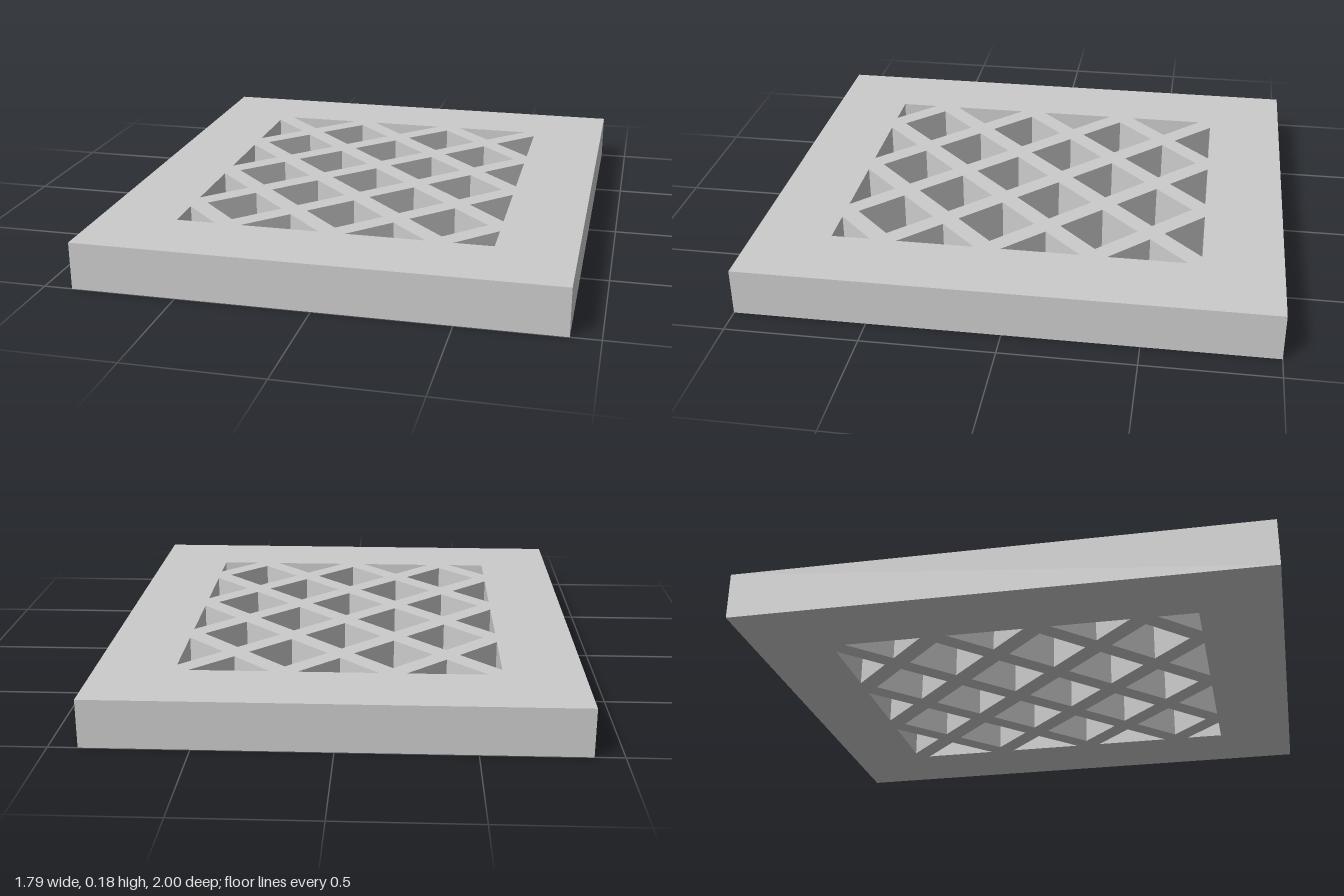
import * as THREE from 'three';

const WIDTH = 1.786, DEPTH = 2, HEIGHT = 0.18; // outer plate
const STEP_X = 0.199, STEP_Z = 0.2;            // half pitch of the lattice
const COLS = 6, ROWS = 7;                      // half-pitch cells across the window
const HOLE = 0.149;                            // half diagonal of a diamond hole

// Diamond outline cut off by the edges of the lattice window
function diamondHole(cx, cz) {
  const maxX = COLS * STEP_X / 2 + 0.001, maxZ = ROWS * STEP_Z / 2 + 0.001;
  const points = [[HOLE, 0], [0, HOLE], [-HOLE, 0], [0, -HOLE]]
    .map(([dx, dz]) => new THREE.Vector2(cx + dx, cz + dz))
    .filter((p) => Math.abs(p.x) <= maxX && Math.abs(p.y) <= maxZ);
  // In a corner only a quarter remains, closed by the centre point
  if (points.length === 2) points.push(new THREE.Vector2(cx, cz));
  return new THREE.Path(points);
}

export function createModel() {
  const group = new THREE.Group();
  group.name = 'latticePanel';

  // Solid rectangular border
  const w = WIDTH / 2, d = DEPTH / 2;
  const outline = new THREE.Shape([
    new THREE.Vector2(-w, -d), new THREE.Vector2(w, -d),
    new THREE.Vector2(w, d), new THREE.Vector2(-w, d),
  ]);

  // Staggered diamond openings leave the diagonal bars
  for (let j = 0; j <= ROWS; j++) {
    for (let i = 0; i <= COLS; i++) {
      if ((i + j) % 2 === 0) continue;
      outline.holes.push(diamondHole((i - COLS / 2) * STEP_X, (j - ROWS / 2) * STEP_Z));
    }
  }

  // Lay the panel flat with its underside on the floor
  const geometry = new THREE.ExtrudeGeometry(outline, { depth: HEIGHT, bevelEnabled: false });
  geometry.rotateX(Math.PI / 2).translate(0, HEIGHT, 0);
  const panel = new THREE.Mesh(
    geometry,
    new THREE.MeshStandardMaterial({ color: 0xcccccc, flatShading: true }),
  );
  panel.name = 'framedLattice';
  group.add(panel);
  return group;
}
